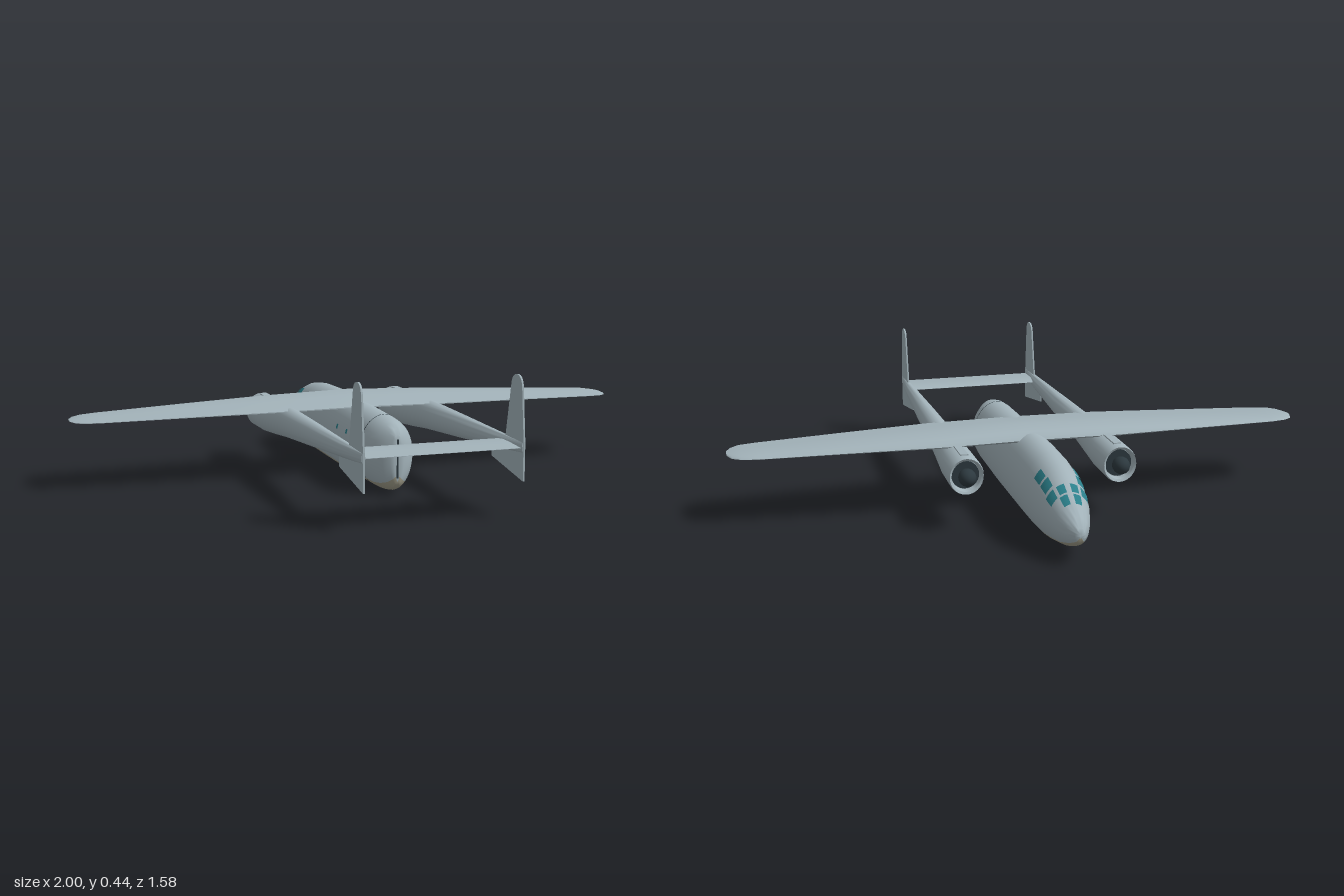
import * as THREE from 'three';
import { toCreasedNormals } from 'three/addons/utils/BufferGeometryUtils.js';

const mat = (name, color) => {
  const m = new THREE.MeshStandardMaterial({ color });
  m.name = name;
  return m;
};

// Fuselage stations, nose to tail: z, top, bottom, half width
const BODY = [
  [-0.79, 0.108, 0.092, 0.004], [-0.782, 0.122, 0.075, 0.017], [-0.75, 0.147, 0.055, 0.038],
  [-0.7, 0.18, 0.036, 0.058], [-0.65, 0.21, 0.025, 0.072], [-0.6, 0.234, 0.015, 0.08],
  [-0.55, 0.249, 0.008, 0.085], [-0.45, 0.262, 0.002, 0.089], [-0.3, 0.266, 0, 0.09],
  [0, 0.258, 0, 0.09], [0.25, 0.25, 0.005, 0.087], [0.3, 0.246, 0.007, 0.083],
  [0.335, 0.238, 0.012, 0.068], [0.36, 0.222, 0.022, 0.046], [0.375, 0.205, 0.037, 0.024],
  [0.38, 0.19, 0.05, 0.01],
];

// Point on the fuselage skin; angle a runs from the top towards +x
function bodyPoint(z, a, lift = 0) {
  let i = 0;
  while (i < BODY.length - 2 && z > BODY[i + 1][0]) i++;
  const t = (z - BODY[i][0]) / (BODY[i + 1][0] - BODY[i][0]);
  const [top, bottom, w] = [1, 2, 3].map((k) => THREE.MathUtils.lerp(BODY[i][k], BODY[i + 1][k], t));
  const ry = (top - bottom) / 2;
  return new THREE.Vector3((w + lift) * Math.sin(a), (top + bottom) / 2 + (ry + lift) * Math.cos(a), z);
}

// Closed skin through equal rings of points, with end caps
function loft(rings, crease = 0.7) {
  const n = rings[0].length, m = rings.length;
  const pts = rings.flat();
  const idx = [];
  for (let j = 0; j < n; j++) {
    const k = (j + 1) % n;
    for (let i = 0; i < m - 1; i++) {
      const a = i * n + j, b = i * n + k, c = a + n, d = b + n;
      idx.push(a, b, d, a, d, c);
    }
  }
  for (const i of [0, m - 1]) {
    const centre = new THREE.Vector3();
    rings[i].forEach((p) => centre.addScaledVector(p, 1 / n));
    const c = pts.push(centre) - 1;
    for (let j = 0; j < n; j++) {
      const a = i * n + j, b = i * n + (j + 1) % n;
      idx.push(...(i === 0 ? [c, b, a] : [c, a, b]));
    }
  }
  // Turn the skin outward if the enclosed volume is negative
  let volume = 0;
  const cross = new THREE.Vector3();
  for (let i = 0; i < idx.length; i += 3) {
    volume += pts[idx[i]].dot(cross.crossVectors(pts[idx[i + 1]], pts[idx[i + 2]]));
  }
  if (volume < 0) {
    for (let i = 0; i < idx.length; i += 3) [idx[i + 1], idx[i + 2]] = [idx[i + 2], idx[i + 1]];
  }
  const g = new THREE.BufferGeometry().setFromPoints(pts);
  g.setIndex(idx);
  return toCreasedNormals(g, crease);
}

const ellipseRing = (z, cx, cy, rx, ry, n = 28) =>
  Array.from({ length: n }, (_, j) => {
    const a = (j / n) * Math.PI * 2;
    return new THREE.Vector3(cx + rx * Math.sin(a), cy + ry * Math.cos(a), z);
  });

// Airfoil outline: chord fraction, height fraction
const FOIL = [[0, 0], [0.03, 0.35], [0.1, 0.68], [0.3, 1], [0.6, 0.72], [1, 0.06],
  [1, -0.06], [0.6, -0.35], [0.3, -0.5], [0.1, -0.4], [0.03, -0.22]];
const foilRing = ([x, lead, trail, y, t]) =>
  FOIL.map(([u, v]) => new THREE.Vector3(x, y + v * t, lead + u * (trail - lead)));

// Thin plate that follows the fuselage skin
function skinPatch(z0, z1, a0, a1, segU = 6, segV = 6) {
  const g = new THREE.PlaneGeometry(1, 1, segU, segV);
  const p = g.attributes.position;
  for (let i = 0; i < p.count; i++) {
    const q = bodyPoint(z0 + (p.getX(i) + 0.5) * (z1 - z0), a0 + (p.getY(i) + 0.5) * (a1 - a0), 0.003);
    p.setXYZ(i, q.x, q.y, q.z);
  }
  g.computeVertexNormals();
  return g;
}

export function createModel() {
  const model = new THREE.Group();
  model.name = 'twinBoomAirplane';
  const skin = mat('skinGrey', 0xa2b2b9);
  const belly = mat('bellyKhaki', 0xa09d8a);
  const glass = mat('windowTeal', 0x2b7f8a);
  const dark = mat('engineDark', 0x2c383e);
  const add = (name, geometry, material, parent = model) => {
    const mesh = new THREE.Mesh(geometry, material);
    mesh.name = name;
    parent.add(mesh);
    return mesh;
  };

  // Fuselage pod with a tinted belly strip
  const sides = 36, bellyHalf = 4;
  const hull = loft(BODY.map(([z]) =>
    Array.from({ length: sides }, (_, j) => bodyPoint(z, (j / sides) * Math.PI * 2))), 0.9);
  const strip = (BODY.length - 1) * 6;
  const from = (sides / 2 - bellyHalf) * strip, to = (sides / 2 + bellyHalf) * strip;
  hull.clearGroups();
  hull.addGroup(0, from, 0);
  hull.addGroup(from, to - from, 1);
  hull.addGroup(to, hull.attributes.position.count - to, 0);
  add('fuselage', hull, [skin, belly]);

  // Cargo door seams
  add('doorSeamRing', skinPatch(0.247, 0.251, -Math.PI, Math.PI, 1, 40), dark);
  add('doorSeamCentre', new THREE.BoxGeometry(0.006, 0.13, 0.006), dark).position.set(0, 0.125, 0.379);

  // Cockpit windows and portholes: z range, angle range
  const panes = [
    [-0.71, -0.676, 0.14, 0.52], [-0.67, -0.638, 0.12, 0.46], [-0.672, -0.636, 0.6, 1.02],
    [-0.625, -0.582, 0.55, 0.94], [-0.572, -0.522, 0.6, 0.94],
    [-0.005, 0.01, 1.15, 1.28], [0.095, 0.11, 1.15, 1.28], [0.195, 0.21, 1.15, 1.28],
  ];
  for (const [z0, z1, a0, a1] of panes) {
    add('windowLeft', skinPatch(z0, z1, a0, a1), glass);
    add('windowRight', skinPatch(z0, z1, -a1, -a0), glass);
  }

  // Main wing, tapered with rounded tips
  const half = [
    [0.3, -0.25, 0.05, 0.243, 0.027], [0.6, -0.222, 0.026, 0.238, 0.019],
    [0.9, -0.194, 0.002, 0.232, 0.011], [0.955, -0.18, -0.008, 0.231, 0.009],
    [0.985, -0.158, -0.032, 0.23, 0.006], [1, -0.12, -0.07, 0.23, 0.003],
  ];
  const stations = [
    ...half.map(([x, ...r]) => [-x, ...r]).reverse(),
    [0, -0.25, 0.05, 0.246, 0.034],
    ...half,
  ];
  add('wing', loft(stations.map(foilRing)), skin);

  // Tailplane between the booms
  add('tailplane', loft([-0.257, 0.257].map((x) => foilRing([x, 0.62, 0.78, 0.22, 0.009]))), skin);

  // Fin outline in z and y, upper and lower parts together
  const finShape = new THREE.Shape();
  finShape.moveTo(0.56, 0.205);
  finShape.lineTo(0.56, 0.155);
  finShape.lineTo(0.79, 0.118);
  finShape.lineTo(0.79, 0.24);
  finShape.lineTo(0.772, 0.41);
  finShape.quadraticCurveTo(0.765, 0.44, 0.738, 0.441);
  finShape.quadraticCurveTo(0.703, 0.441, 0.697, 0.41);
  finShape.lineTo(0.66, 0.235);
  finShape.lineTo(0.64, 0.205);
  const finGeo = new THREE.ExtrudeGeometry(finShape, { depth: 0.006, bevelEnabled: false, curveSegments: 8 });
  finGeo.translate(0, 0, -0.003).rotateY(-Math.PI / 2);

  // Engine, boom and fin on each side: z, offset x, y, half width, half height
  const boom = [
    [-0.365, 0.26, 0.183, 0.046, 0.049], [-0.388, 0.26, 0.183, 0.049, 0.052],
    [-0.393, 0.26, 0.183, 0.056, 0.06], [-0.38, 0.26, 0.183, 0.059, 0.063],
    [-0.25, 0.26, 0.184, 0.058, 0.062], [-0.12, 0.26, 0.191, 0.05, 0.058],
    [0, 0.26, 0.198, 0.044, 0.053], [0.3, 0.258, 0.207, 0.033, 0.04],
    [0.6, 0.257, 0.216, 0.02, 0.026], [0.785, 0.257, 0.222, 0.006, 0.017],
  ];
  for (const s of [1, -1]) {
    const side = new THREE.Group();
    side.name = s > 0 ? 'leftBoom' : 'rightBoom';
    model.add(side);
    add('engineAndBoom', loft(boom.map(([z, x, ...r]) => ellipseRing(z, s * x, ...r))), skin, side);
    const face = add('engineFace', new THREE.CylinderGeometry(0.046, 0.046, 0.006, 28), dark, side);
    face.rotation.x = Math.PI / 2;
    face.position.set(s * 0.26, 0.183, -0.367);
    const spinner = add('spinner', new THREE.SphereGeometry(0.029, 20, 14), dark, side);
    spinner.scale.z = 1.25;
    spinner.position.set(s * 0.26, 0.183, -0.4);
    add('airScoop', new THREE.BoxGeometry(0.026, 0.012, 0.11), skin, side).position.set(s * 0.26, 0.243, -0.305);
    add('fin', finGeo, skin, side).position.x = s * 0.257;
  }
  return model;
}
